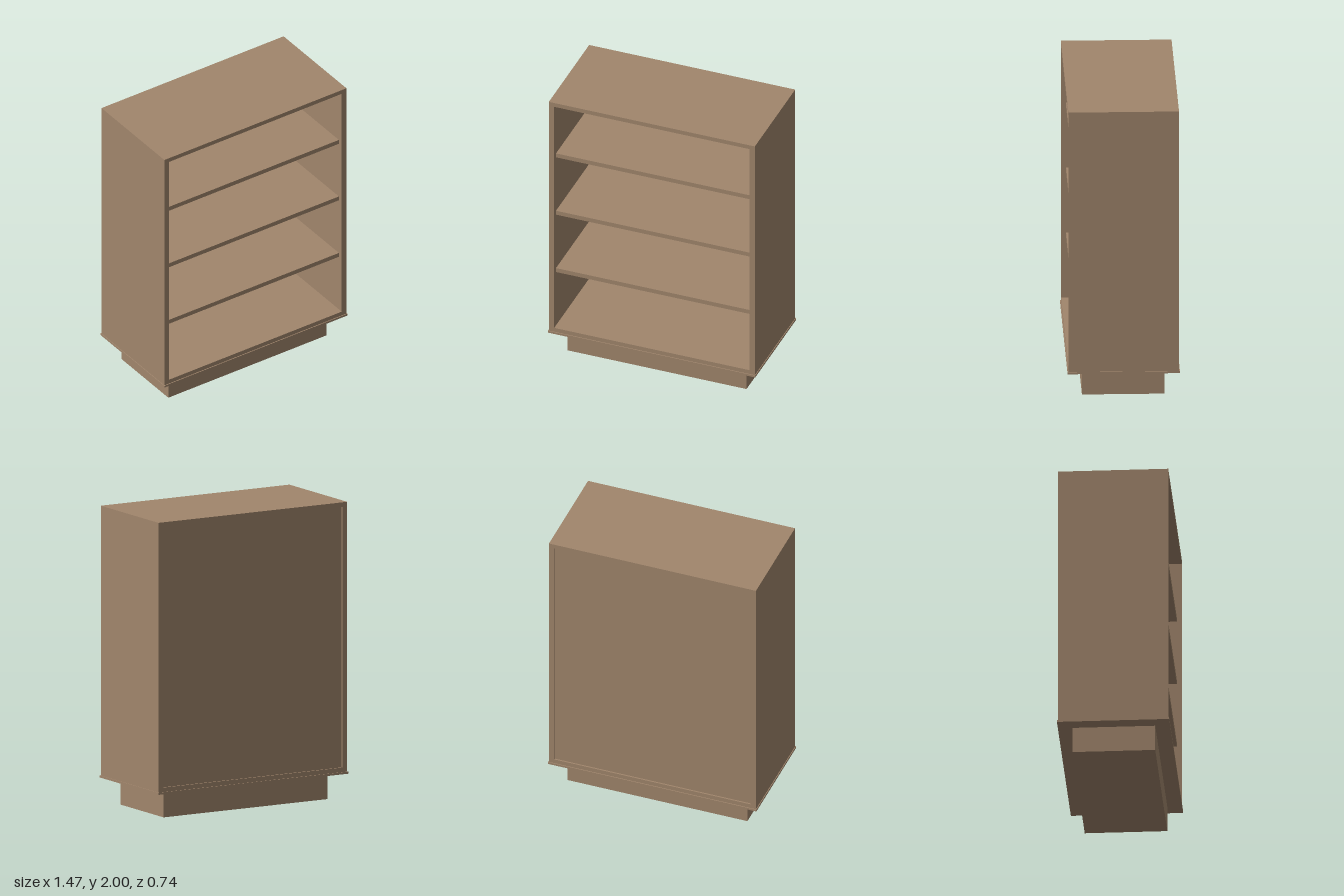
import * as THREE from 'three';

export function createModel() {
  const group = new THREE.Group();
  const wood = new THREE.MeshStandardMaterial({ color: 0xa1866c });
  wood.name = 'brown wood';

  // Box given by its min and max on each axis
  function board(name, [x0, x1], [y0, y1], [z0, z1]) {
    const mesh = new THREE.Mesh(new THREE.BoxGeometry(x1 - x0, y1 - y0, z1 - z0), wood);
    mesh.position.set((x0 + x1) / 2, (y0 + y1) / 2, (z0 + z1) / 2);
    mesh.name = name;
    group.add(mesh);
  }

  const W = 0.73, D = 0.365, inner = 0.692;
  const bottom = 0.19, top = 2, floorTop = 0.22, ceiling = 1.97;

  // Base: recessed plinth and thin projecting trim
  board('plinth', [-0.635, 0.635], [0, 0.176], [-0.273, 0.273]);
  board('baseTrim', [-0.735, 0.735], [0.176, bottom], [-0.371, 0.371]);

  // Carcass: one rectangular frame with a through opening
  const frame = new THREE.Shape([
    new THREE.Vector2(-W, bottom), new THREE.Vector2(W, bottom),
    new THREE.Vector2(W, top), new THREE.Vector2(-W, top),
  ]);
  frame.holes.push(new THREE.Path([
    new THREE.Vector2(-inner, floorTop), new THREE.Vector2(-inner, ceiling),
    new THREE.Vector2(inner, ceiling), new THREE.Vector2(inner, floorTop),
  ]));
  const carcass = new THREE.Mesh(
    new THREE.ExtrudeGeometry(frame, { depth: 2 * D, bevelEnabled: false }), wood);
  carcass.position.z = -D;
  carcass.name = 'carcass';
  group.add(carcass);

  // Back panel, slightly recessed
  board('backPanel', [-inner, inner], [floorTop, ceiling], [-0.355, -0.345]);

  // Shelves, set back from the front edge
  [0.642, 1.096, 1.55].forEach((y, i) =>
    board(`shelf${i + 1}`, [-inner, inner], [y, y + 0.031], [-0.345, 0.332]));

  return group;
}
